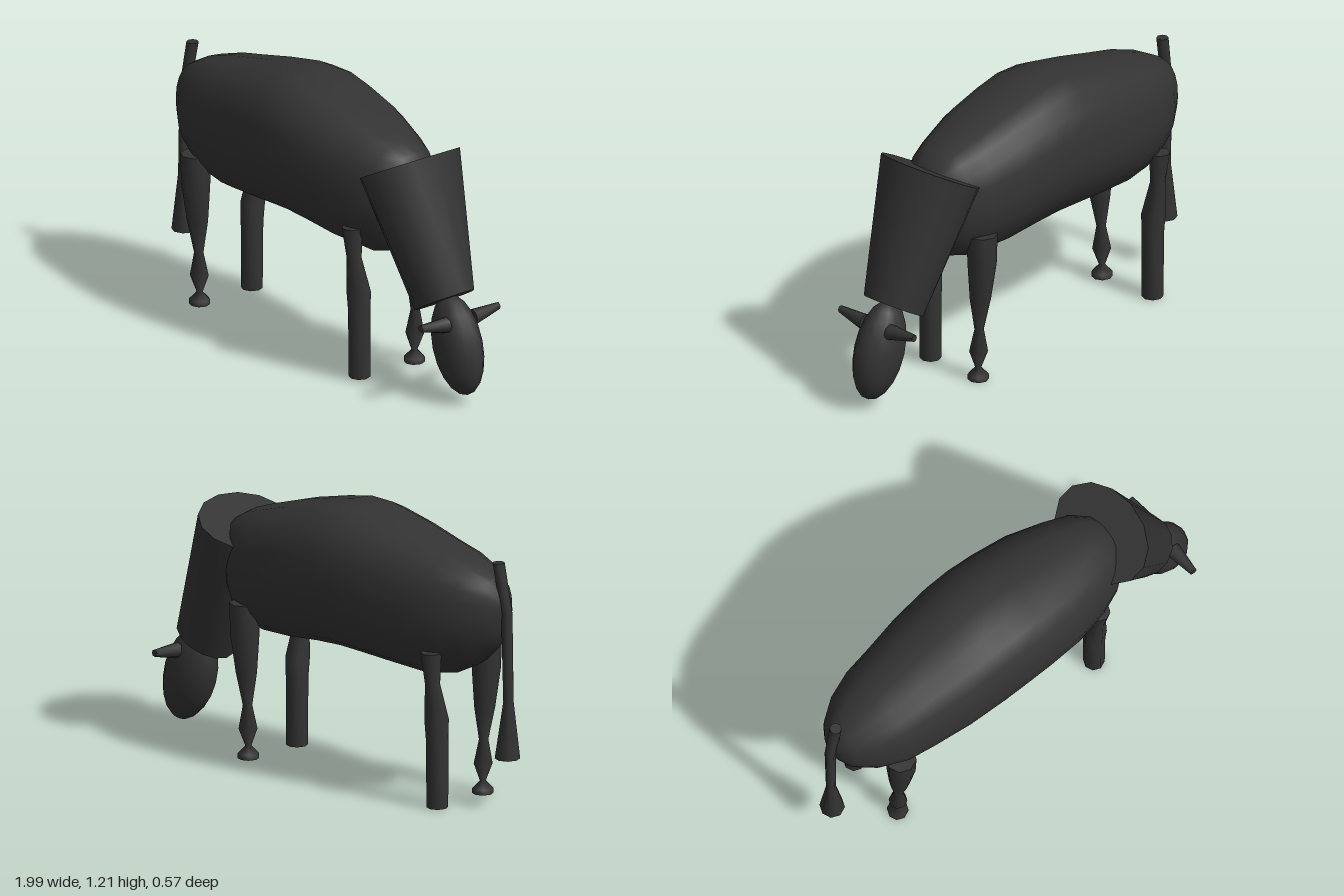
import * as THREE from 'three';

const V = (x, y, z) => new THREE.Vector3(x, y, z);

// Skin through rings {c, u, v, n}: centre, two half-axes (u x v points along the path)
// and the exponent of the upper half of the superellipse; both ends are capped.
function loft(rings, sides) {
  const pos = [], idx = [];
  const addRing = ({ c, u, v, n = 2 }) => {
    const start = pos.length / 3;
    for (let j = 0; j < sides; j++) {
      const a = (j / sides) * Math.PI * 2, cs = Math.cos(a), sn = Math.sin(a);
      const e = cs > 0 ? 2 / n : 1;
      const p = c.clone()
        .addScaledVector(u, Math.sign(cs) * Math.abs(cs) ** e)
        .addScaledVector(v, Math.sign(sn) * Math.abs(sn) ** e);
      pos.push(p.x, p.y, p.z);
    }
    return start;
  };
  const starts = rings.map(addRing);
  for (let i = 0; i + 1 < rings.length; i++) {
    for (let j = 0; j < sides; j++) {
      const k = (j + 1) % sides, s = starts[i], t = starts[i + 1];
      idx.push(s + j, s + k, t + j, s + k, t + k, t + j);
    }
  }
  // Caps use their own vertices so the rims stay sharp
  [rings[0], rings[rings.length - 1]].forEach((ring, end) => {
    const s = addRing(ring), m = pos.length / 3;
    pos.push(ring.c.x, ring.c.y, ring.c.z);
    for (let j = 0; j < sides; j++) {
      const k = (j + 1) % sides;
      if (end) idx.push(m, s + j, s + k);
      else idx.push(m, s + k, s + j);
    }
  });
  const g = new THREE.BufferGeometry();
  g.setAttribute('position', new THREE.Float32BufferAttribute(pos, 3));
  g.setIndex(idx);
  g.computeVertexNormals();
  return g;
}

// Round limb running downwards: rows of [x, y, z, radius]
const limb = (rows, sides = 8) => loft(rows.map(([x, y, z, r]) => (
  { c: V(x, y, z), u: V(r, 0, 0), v: V(0, 0, r) })), sides);

export function createModel() {
  const group = new THREE.Group();
  const hide = new THREE.MeshStandardMaterial({ color: 0x333333 });
  hide.name = 'charcoal';
  const add = (name, geometry) => {
    const mesh = new THREE.Mesh(geometry, hide);
    mesh.name = name;
    group.add(mesh);
    return mesh;
  };

  // Body: rows of [x, bottom, top, half width]
  const body = [
    [-0.94, 0.86, 0.91, 0.015], [-0.925, 0.78, 0.965, 0.06], [-0.89, 0.7, 1.01, 0.11],
    [-0.8, 0.62, 1.06, 0.175], [-0.68, 0.56, 1.1, 0.22], [-0.55, 0.54, 1.13, 0.24],
    [-0.38, 0.55, 1.17, 0.268], [-0.2, 0.56, 1.207, 0.282], [-0.08, 0.565, 1.21, 0.284],
    [0.05, 0.56, 1.185, 0.28], [0.22, 0.545, 1.145, 0.265], [0.38, 0.54, 1.095, 0.225],
    [0.48, 0.57, 1.06, 0.185], [0.55, 0.64, 1.02, 0.13], [0.59, 0.73, 0.95, 0.06], [0.6, 0.8, 0.88, 0.02],
  ];
  add('body', loft(body.map(([x, lo, hi, w]) => (
    { c: V(x, (lo + hi) / 2, 0), u: V(0, (hi - lo) / 2, 0), v: V(0, 0, w), n: 2.5 })), 20));

  // Neck: slanted tapering block with open shoulders
  add('neck', loft([
    { c: V(0.54, 0.985, 0), u: V(0.16, 0.085, 0), v: V(0, 0, 0.245) },
    { c: V(0.77, 0.43, 0), u: V(0.12, 0.07, 0), v: V(0, 0, 0.13) },
  ], 14));

  // Head
  const head = add('head', new THREE.SphereGeometry(1, 14, 10));
  head.scale.set(0.125, 0.22, 0.096);
  head.rotation.z = 0.31;
  head.position.set(0.858, 0.255, 0);

  // Ears
  for (const s of [1, -1]) {
    const rows = [[0.365, 0.07, 0.036], [0.382, 0.212, 0.016]];
    add(s > 0 ? 'rightEar' : 'leftEar', loft(rows.map(([y, z, r]) => {
      const a = V(r, 0, 0), b = V(0, r, 0);
      return { c: V(0.87, y, z * s), u: s > 0 ? a : b, v: s > 0 ? b : a };
    }), 8));
  }

  // Legs: rows of [y, z, radius]; one diagonal pair is straight, the other pinched
  const straight = [[0.69, 0.185, 0.045], [0.55, 0.175, 0.032], [0.39, 0.15, 0.052], [0.3, 0.146, 0.048], [0, 0.145, 0.046]];
  const pinched = [[0.69, 0.165, 0.066], [0.55, 0.165, 0.062], [0.38, 0.155, 0.045], [0.235, 0.148, 0.02],
    [0.13, 0.145, 0.04], [0.055, 0.143, 0.013], [0.022, 0.143, 0.045], [0, 0.143, 0.045]];
  const legs = [
    ['frontLegRight', 0.38, 1, straight], ['frontLegLeft', 0.395, -1, pinched],
    ['hindLegRight', -0.69, 1, pinched], ['hindLegLeft', -0.693, -1, straight],
  ];
  for (const [name, x, side, rows] of legs) {
    add(name, limb(rows.map(([y, z, r]) => [x, y, z * side, r])));
  }

  // Tail with flared tuft
  add('tail', limb([
    [-0.912, 1.09, 0, 0.026], [-0.95, 0.87, 0.01, 0.024], [-0.952, 0.48, 0.018, 0.022], [-0.946, 0.23, 0.018, 0.054],
  ]));

  return group;
}
